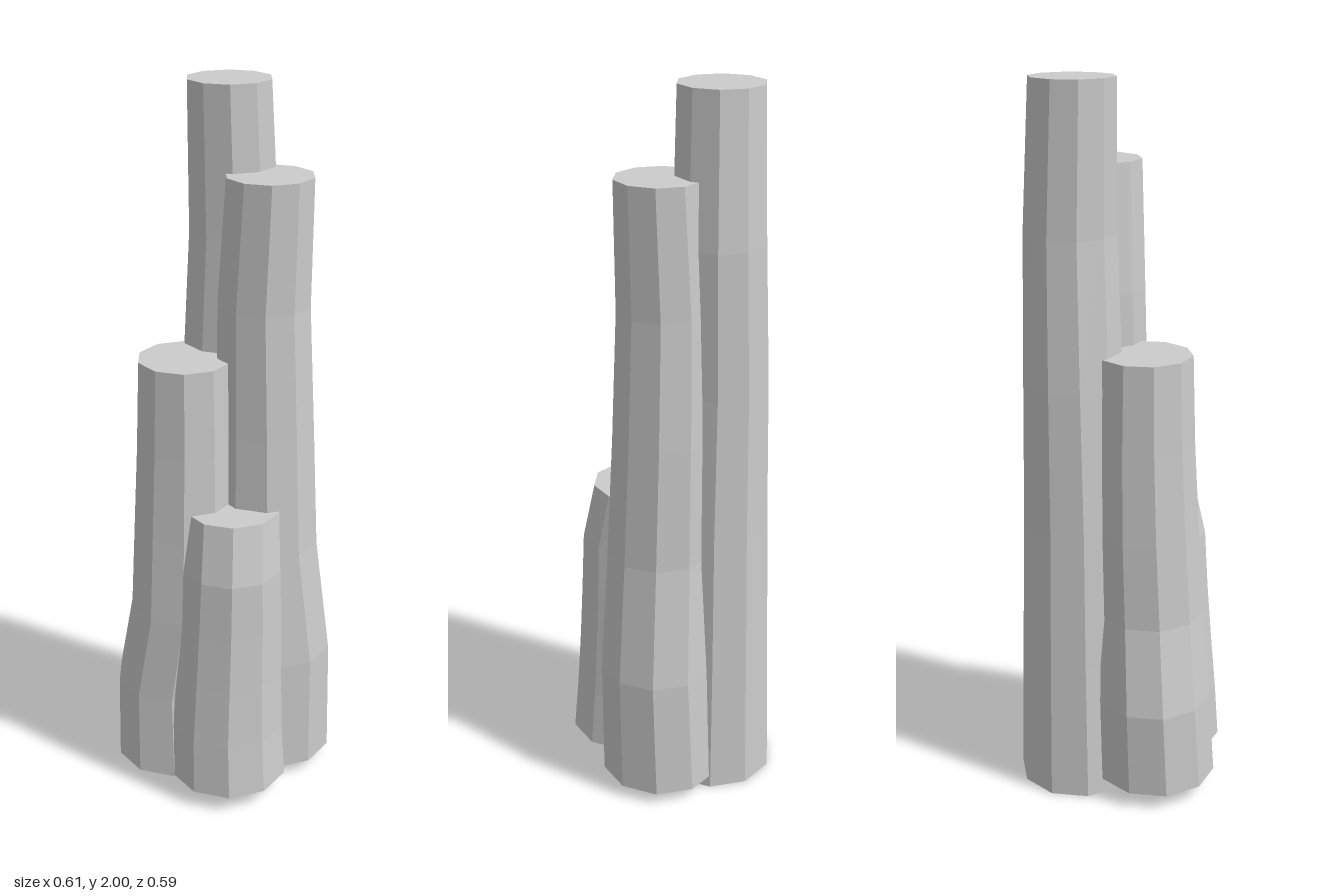
import * as THREE from 'three';

// Each column: name, base height, top height, and evenly spaced rings of [centre x, centre z, radius]
const COLUMNS = [
  ['tallestColumn', 0, 2, [
    [-0.03, -0.133, 0.172], [-0.03, -0.135, 0.16], [-0.03, -0.135, 0.149],
    [-0.03, -0.14, 0.137], [-0.02, -0.142, 0.126], [-0.03, -0.133, 0.115]]],
  ['tallColumn', 0.035, 1.775, [
    [0.132, -0.066, 0.172], [0.137, -0.058, 0.163], [0.107, -0.045, 0.151],
    [0.1, -0.05, 0.14], [0.092, -0.05, 0.13], [0.107, -0.046, 0.119]]],
  ['middleColumn', 0.045, 1.285, [
    [-0.135, 0.075, 0.172], [-0.143, 0.063, 0.164], [-0.107, 0.06, 0.155],
    [-0.105, 0.05, 0.147], [-0.102, 0.045, 0.138], [-0.1, 0.045, 0.13]]],
  ['shortColumn', 0.05, 0.875, [
    [0.05, 0.131, 0.172], [0.045, 0.125, 0.165], [0.047, 0.118, 0.157],
    [0.05, 0.112, 0.15], [0.052, 0.11, 0.142], [0.046, 0.08, 0.134]]],
];

// Ten-sided cylinder whose rings are shifted and scaled to follow the given sections
function makeColumn(name, bottom, top, rings, material) {
  const segments = rings.length - 1;
  const geometry = new THREE.CylinderGeometry(1, 1, 1, 10, segments, false, Math.PI / 2);
  const position = geometry.attributes.position;
  for (let i = 0; i < position.count; i++) {
    const t = position.getY(i) + 0.5;
    const [cx, cz, r] = rings[Math.round(t * segments)];
    position.setXYZ(i, cx + position.getX(i) * r, bottom + t * (top - bottom), cz + position.getZ(i) * r);
  }
  geometry.computeVertexNormals();
  const mesh = new THREE.Mesh(geometry, material);
  mesh.name = name;
  return mesh;
}

export function createModel() {
  const group = new THREE.Group();
  group.name = 'rockColumns';
  const material = new THREE.MeshStandardMaterial({ color: 0xcccccc, flatShading: true });
  for (const [name, bottom, top, rings] of COLUMNS) {
    group.add(makeColumn(name, bottom, top, rings, material));
  }
  return group;
}
